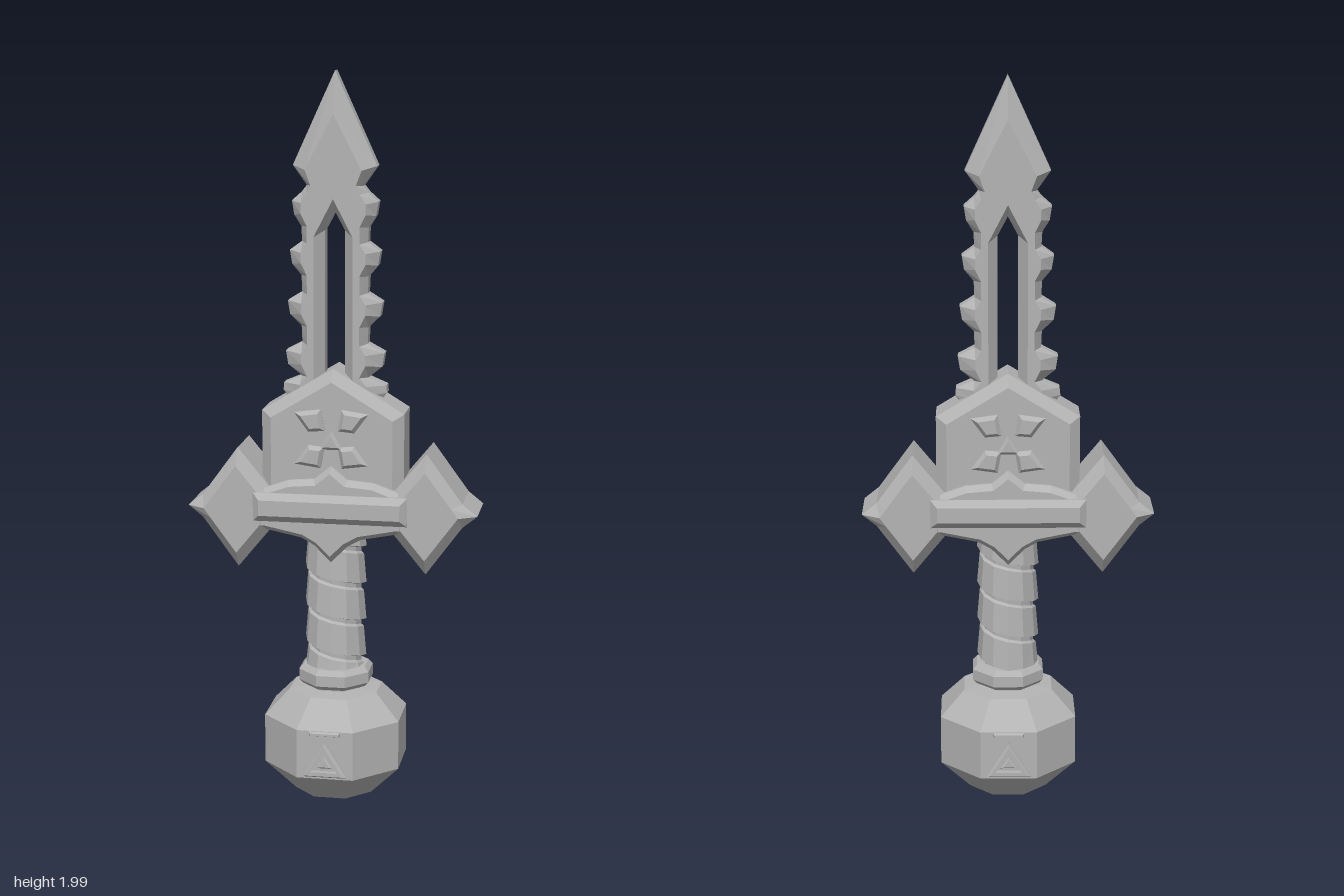
import * as THREE from 'three';

const stone = new THREE.MeshStandardMaterial({ color: 0xb3b3b3, flatShading: true });
stone.name = 'grey stone';

function mesh(name, geometry) {
  const m = new THREE.Mesh(geometry, stone);
  m.name = name;
  return m;
}

function fromTriangles(positions) {
  const g = new THREE.BufferGeometry();
  g.setAttribute('position', new THREE.Float32BufferAttribute(positions, 3));
  g.computeVertexNormals();
  return g;
}

// Moves every edge of a counter-clockwise loop inwards by d
function inset(loop, d) {
  const normal = (a, b) => {
    const l = Math.hypot(b[0] - a[0], b[1] - a[1]);
    return [(a[1] - b[1]) / l, (b[0] - a[0]) / l];
  };
  return loop.map((p, i) => {
    const n = normal(loop.at(i - 1), p);
    const m = normal(p, loop[(i + 1) % loop.length]);
    const k = d / (1 + n[0] * m[0] + n[1] * m[1]);
    return [p[0] + (n[0] + m[0]) * k, p[1] + (n[1] + m[1]) * k];
  });
}

// Slab with bevelled front and back; holes are clockwise { edge, face } loops
function slab(name, edge, face, zEdge, zFace, holes = []) {
  const out = [];
  for (const l of [{ edge, face }, ...holes]) {
    const rings = [[l.face, -zFace], [l.edge, -zEdge], [l.edge, zEdge], [l.face, zFace]];
    for (let r = 0; r < 3; r++) {
      const [p, z0] = rings[r], [q, z1] = rings[r + 1];
      p.forEach((a, i) => {
        const j = (i + 1) % p.length, b = p[j], c = q[j], d = q[i];
        out.push(...a, z0, ...b, z0, ...c, z1, ...a, z0, ...c, z1, ...d, z1);
      });
    }
  }
  const v = (l) => l.map(([x, y]) => new THREE.Vector2(x, y));
  const all = [face, ...holes.map((h) => h.face)].flat();
  for (const [a, b, c] of THREE.ShapeUtils.triangulateShape(v(face), holes.map((h) => v(h.face)))) {
    out.push(...all[a], zFace, ...all[b], zFace, ...all[c], zFace);
    out.push(...all[a], -zFace, ...all[c], -zFace, ...all[b], -zFace);
  }
  return mesh(name, fromTriangles(out));
}

// Bevelled slab whose face is an even inset of its edge
const bevelled = (name, loop, d, zEdge, zFace, holes) => slab(name, loop, inset(loop, d), zEdge, zFace, holes);

// Completes a right half (bottom to top) with its mirror image
const mirrored = (half) => [
  ...half,
  ...half.filter((p) => p[0] > 0).reverse().map(([x, y]) => [-x, y]),
];

// Octagonal turned part; radii measured to the flat sides
function octagon(name, profile) {
  const k = 1 / Math.cos(Math.PI / 8);
  const pts = profile.map(([r, y]) => new THREE.Vector2(r * k, y));
  return mesh(name, new THREE.LatheGeometry(pts, 8, Math.PI / 8));
}

function blade() {
  const edge = [[0.1, 1.1], [0.14, 1.155], [0.138, 1.175]];
  const face = [[0.075, 1.1], [0.09, 1.15], [0.09, 1.175]];
  // Hooked teeth, wider towards the guard
  [1.25, 1.385, 1.52, 1.65].forEach((y, i) => {
    const x = 0.133 - i * 0.006;
    edge.push([0.09, y - 0.055], [x - 0.006, y - 0.025], [x, y + 0.012], [0.088, y + 0.036]);
    face.push([0.07, y - 0.052], [0.086, y - 0.02], [0.086, y + 0.008], [0.07, y + 0.033]);
  });
  edge.push([0.075, 1.703], [0.112, 1.755], [0, 2]);
  face.push([0.06, 1.705], [0.075, 1.745], [0, 1.89]);
  // Pointed slot down the middle
  const slot = {
    edge: [[-0.027, 1.12], [-0.027, 1.585], [0, 1.635], [0.027, 1.585], [0.027, 1.12]],
    face: [[-0.052, 1.115], [-0.052, 1.57], [0, 1.67], [0.052, 1.57], [0.052, 1.115]],
  };
  return slab('blade', mirrored(edge), mirrored(face), 0.018, 0.05, [slot]);
}

// Spiral wrap: a ledged band swept down a helix
function gripWrap() {
  const pitch = 0.103, sides = 12, out = [];
  const band = [[0, 0.07], [0.012, 0.07], [0.016, 0.084], [0.097, 0.077], [pitch, 0.07]];
  const point = (i, j) => {
    const a = (i / sides) * Math.PI * 2;
    const y = THREE.MathUtils.clamp(0.84 - (pitch * i) / sides + band[j][0], 0.385, 0.79);
    return [band[j][1] * Math.sin(a), y, band[j][1] * Math.cos(a)];
  };
  for (let i = 0; i < sides * 6; i++) {
    for (let j = 0; j < band.length - 1; j++) {
      const a = point(i, j), b = point(i + 1, j), c = point(i + 1, j + 1), d = point(i, j + 1);
      out.push(...a, ...b, ...c, ...a, ...c, ...d);
    }
  }
  return mesh('gripWrap', fromTriangles(out));
}

function guard() {
  const g = new THREE.Group();
  g.name = 'guard';
  // Gabled plate holding the blade
  const plate = mirrored([[0.192, 0.8], [0.192, 1.105], [0, 1.222]]);
  g.add(bevelled('guardPlate', plate, 0.028, 0.052, 0.077));
  // Cross body with a pointed lower lip
  const body = mirrored([[0, 0.7], [0.045, 0.745], [0.08, 0.765], [0.18, 0.785], [0.24, 0.785],
    [0.24, 0.88], [0.19, 0.895], [0.115, 0.922], [0.045, 0.928], [0, 0.965]]);
  g.add(bevelled('crossBody', body, 0.014, 0.085, 0.105));
  const ridge = [[-0.208, 0.812], [0.208, 0.812], [0.208, 0.89], [-0.208, 0.89]];
  g.add(bevelled('ridgeBar', ridge, 0.018, 0.108, 0.124));
  // Diamond ends with flared tips
  for (const s of [1, -1]) {
    const d = [[0.255, 0.675], [0.352, 0.808], [0.392, 0.84], [0.352, 0.872],
      [0.255, 1.005], [0.165, 0.895], [0.165, 0.785]].map(([x, y]) => [x * s, y]);
    const f = [[0.255, 0.72], [0.325, 0.815], [0.343, 0.84], [0.325, 0.865],
      [0.255, 0.96], [0.19, 0.88], [0.19, 0.8]].map(([x, y]) => [x * s, y]);
    if (s < 0) { d.reverse(); f.reverse(); }
    g.add(slab('diamondEnd', d, f, 0.075, 0.107));
  }
  // Four-armed star, raised on front and back
  for (const sx of [1, -1]) {
    for (const sy of [1, -1]) {
      const arm = [[0.018, 0.022], [0.062, 0.018], [0.1, 0.07], [0.028, 0.08]]
        .map(([x, y]) => [x * sx, 1.037 + y * sy]);
      if (sx * sy < 0) arm.reverse();
      g.add(bevelled('starArm', arm, 0.01, 0.08, 0.092));
    }
  }
  g.add(bevelled('starCentre', [[-0.032, 1.008], [0.032, 1.008], [0, 1.062]], 0.008, 0.08, 0.09));
  return g;
}

function pommel() {
  const g = new THREE.Group();
  g.name = 'pommel';
  g.add(octagon('pommelBall', [[0, 0.01], [0.105, 0.035], [0.185, 0.12], [0.185, 0.255],
    [0.12, 0.325], [0.07, 0.33], [0.07, 0.35]]));
  // Triangle badge on front and back
  const tri = (cx, cy, r) => [[cx - r, cy - r * 0.75], [cx + r, cy - r * 0.75], [cx, cy + r * 0.85]];
  const hole = tri(0, 0.17, 0.036).reverse();
  g.add(bevelled('badgeFrame', tri(0, 0.173, 0.062), 0.006, 0.19, 0.2, [{ edge: hole, face: hole }]));
  g.add(bevelled('badgeCentre', tri(0, 0.168, 0.022), 0.005, 0.188, 0.195));
  g.add(bevelled('badgeBar', [[-0.042, 0.242], [0.042, 0.242], [0.042, 0.254], [-0.042, 0.254]], 0.003, 0.188, 0.195));
  return g;
}

export function createModel() {
  const model = new THREE.Group();
  model.name = 'dagger';
  model.add(blade(), guard(), gripWrap(), pommel());
  model.add(octagon('gripCollar', [[0.05, 0.335], [0.085, 0.338], [0.096, 0.35], [0.096, 0.38],
    [0.085, 0.393], [0.05, 0.397]]));
  return model;
}
